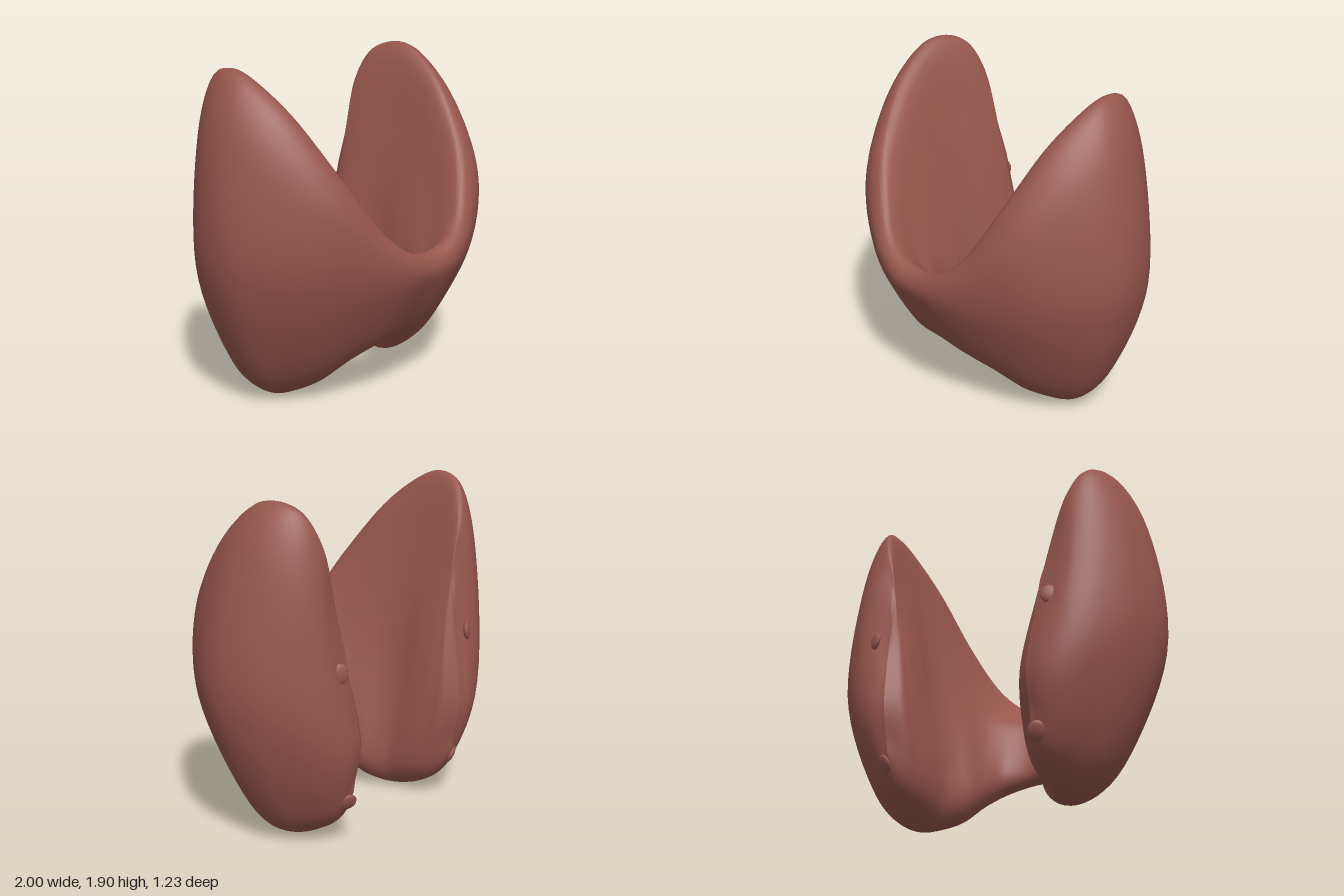
import * as THREE from 'three';

// Cross-sections from the midline round to the back edge of one lobe:
// [crest x,y,z], [root x,y,z], [outer x,z], [inner x,z], height of outer/inner
const SECTIONS = [
  [[0, 0.86, 0.53], [0, 0.32, 0.29], [0, 0.59], [0, 0.35], 0.70],
  [[0.19, 0.91, 0.54], [0.16, 0.28, 0.24], [0.2, 0.585], [0.14, 0.30], 0.70],
  [[0.36, 1.06, 0.49], [0.24, 0.20, 0.15], [0.45, 0.49], [0.26, 0.18], 0.70],
  [[0.53, 1.36, 0.37], [0.32, 0.08, 0.04], [0.73, 0.335], [0.34, 0.04], 0.76],
  [[0.64, 1.67, 0.16], [0.41, 0.02, -0.06], [0.92, 0.13], [0.40, -0.08], 0.83],
  [[0.70, 1.86, -0.07], [0.47, 0.00, -0.14], [0.995, -0.06], [0.42, -0.19], 0.88],
  [[0.70, 1.90, -0.23], [0.48, 0.02, -0.24], [0.95, -0.27], [0.40, -0.31], 0.86],
  [[0.66, 1.84, -0.37], [0.46, 0.06, -0.33], [0.82, -0.45], [0.38, -0.41], 0.78],
  [[0.60, 1.66, -0.45], [0.44, 0.12, -0.42], [0.68, -0.56], [0.37, -0.47], 0.68],
  [[0.54, 1.40, -0.47], [0.43, 0.21, -0.49], [0.55, -0.605], [0.375, -0.53], 0.63],
  [[0.49, 1.15, -0.51], [0.45, 0.33, -0.55], [0.45, -0.595], [0.45, -0.595], 0.62],
];

// Eight points round one section: crest, outer, root, inner and the corners
// between them; a small bulge factor hollows the wall, a large one fills it
function ring([crest, root, outer, inner, h], side) {
  const T = new THREE.Vector3(...crest), B = new THREE.Vector3(...root);
  const O = new THREE.Vector3(outer[0], h, outer[1]);
  const I = new THREE.Vector3(inner[0], h, inner[1]);
  const C = O.clone().add(I).multiplyScalar(0.5);
  const corner = (p, q, bulge) => C.clone().addScaledVector(p.clone().sub(C), bulge)
    .addScaledVector(q.clone().sub(C), bulge);
  const pts = [T, corner(T, O, 0.71), O, corner(O, B, 0.77),
    B, corner(B, I, 0.76), I, corner(I, T, 0.55)];
  pts.forEach(p => { p.x *= side; });
  return pts;
}

// The last ring is folded flat so that the back edge closes
function closedRing(section, side) {
  const pts = ring(section, side);
  for (const [a, b] of [[1, 7], [3, 5]]) {
    pts[a].lerp(pts[b], 0.5);
    pts[b].copy(pts[a]);
  }
  return pts;
}

const last = SECTIONS.length - 1;
const half = side => SECTIONS.map((s, i) => (i === last ? closedRing : ring)(s, side));
const rings = [...half(-1).slice(1).reverse(), ...half(1)];
const rails = rings[0].map((_, k) =>
  new THREE.CatmullRomCurve3(rings.map(r => r[k]), false, 'catmullrom', 0.5));

// Closed loop at u along the gland; the tips lean slightly to one side
function loopAt(u) {
  const pts = rails.map(r => r.getPoint(u));
  pts.forEach(p => { p.x -= 0.03 * THREE.MathUtils.smoothstep(p.y, 1, 1.9); });
  return new THREE.CatmullRomCurve3(pts, true, 'catmullrom', 0.5);
}

function bodyGeometry(nu = 160, nt = 64) {
  const pos = [], index = [];
  for (let i = 0; i <= nu; i++) {
    const loop = loopAt(i / nu);
    for (let j = 0; j < nt; j++) pos.push(...loop.getPoint(j / nt).toArray());
  }
  for (let i = 0; i < nu; i++) for (let j = 0; j < nt; j++) {
    const k = (j + 1) % nt;
    const a = i * nt + j, b = i * nt + k, c = a + nt, d = b + nt;
    index.push(a, b, c, b, d, c);
  }
  const g = new THREE.BufferGeometry();
  g.setAttribute('position', new THREE.Float32BufferAttribute(pos, 3));
  g.setIndex(index);
  g.computeVertexNormals();
  return g;
}

export function createModel() {
  const tissue = new THREE.MeshStandardMaterial({ color: 0x96564b });
  tissue.name = 'tissueRed';
  const group = new THREE.Group();
  group.name = 'gland';

  // Two lobes joined by the front bridge, one smooth skin
  const body = new THREE.Mesh(bodyGeometry(), tissue);
  body.name = 'lobesAndBridge';
  group.add(body);

  // Small flattened nodules along the back edge of each lobe
  const bead = new THREE.SphereGeometry(1, 20, 14);
  for (const side of [-1, 1]) {
    for (const [name, s, t, tilt] of [['upperNodule', 9.1, 0.16, 0.1], ['lowerNodule', 9.2, 0.415, -0.5]]) {
      const m = new THREE.Mesh(bead, tissue);
      m.position.copy(loopAt(0.5 + side * s / 20).getPoint(t));
      m.scale.set(0.05, 0.055, 0.018);
      m.rotation.set(tilt, -side * 0.45, 0);
      m.name = name + (side > 0 ? 'Left' : 'Right');
      group.add(m);
    }
  }
  return group;
}
